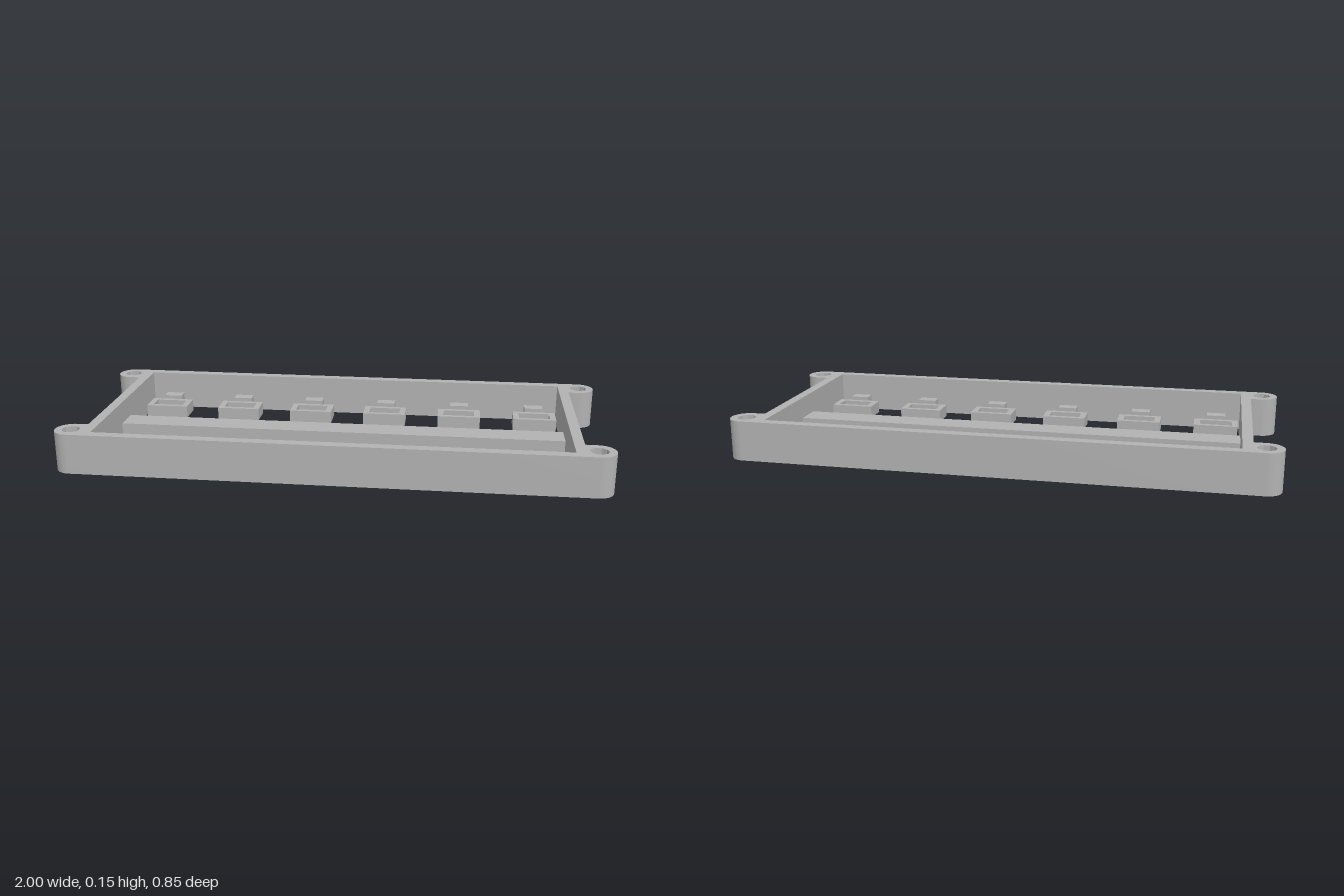
import * as THREE from 'three';
import { toCreasedNormals } from 'three/addons/utils/BufferGeometryUtils.js';

const HEIGHT = 0.15;

export function createModel() {
  const model = new THREE.Group();
  const grey = new THREE.MeshStandardMaterial({ color: 0xb2b2b2 });
  grey.name = 'plainGrey';

  const add = (name, geometry, parent = model) => {
    const mesh = new THREE.Mesh(geometry, grey);
    mesh.name = name;
    parent.add(mesh);
    return mesh;
  };
  // Extrude a plan outline upward from y = 0
  const extrudeUp = (shape, depth) => {
    const g = new THREE.ExtrudeGeometry(shape, { depth, bevelEnabled: false, curveSegments: 16 });
    g.rotateX(-Math.PI / 2);
    return toCreasedNormals(g, 0.5);
  };
  const rectangle = (Type, w, d) => {
    const p = new Type();
    p.moveTo(-w / 2, -d / 2).lineTo(w / 2, -d / 2).lineTo(w / 2, d / 2).lineTo(-w / 2, d / 2).closePath();
    return p;
  };
  const box = (w, h, d, x, y, z) => new THREE.BoxGeometry(w, h, d).translate(x, y, z);

  // Frame: long walls ending in round screw bosses, joined by inset end walls
  const bx = 0.94, bz = 0.366, r = 0.06, wallX = 0.897;
  const outline = new THREE.Shape();
  outline.moveTo(-bx, -bz - r);
  outline.lineTo(bx, -bz - r);
  outline.absarc(bx, -bz, r, -Math.PI / 2, Math.PI / 2, false);
  outline.lineTo(wallX, -bz + r);
  outline.lineTo(wallX, bz - r);
  outline.lineTo(bx, bz - r);
  outline.absarc(bx, bz, r, -Math.PI / 2, Math.PI / 2, false);
  outline.lineTo(-bx, bz + r);
  outline.absarc(-bx, bz, r, Math.PI / 2, Math.PI * 1.5, false);
  outline.lineTo(-wallX, bz - r);
  outline.lineTo(-wallX, -bz + r);
  outline.lineTo(-bx, -bz + r);
  outline.absarc(-bx, -bz, r, Math.PI / 2, Math.PI * 1.5, false);
  outline.holes.push(rectangle(THREE.Path, 1.718, 0.776));
  // Screw holes
  for (const sx of [-1, 1]) for (const sz of [-1, 1]) {
    const points = [];
    for (let i = 0; i < 10; i++) {
      const a = (i / 10) * Math.PI * 2;
      points.push(new THREE.Vector2(sx * bx + 0.033 * Math.cos(a), sz * bz + 0.033 * Math.sin(a)));
    }
    outline.holes.push(new THREE.Path(points));
  }
  add('frame', extrudeUp(outline, HEIGHT));

  // Bar across the middle
  add('centreBar', box(1.718, 0.068, 0.104, 0, 0.034, 0));

  // Two rows of open rectangular loops, each held to the wall by a tab
  const loopShape = rectangle(THREE.Shape, 0.172, 0.098);
  loopShape.holes.push(rectangle(THREE.Path, 0.124, 0.06));
  const loopGeometry = extrudeUp(loopShape, 0.048);
  const tabGeometry = box(0.074, 0.063, 0.046, 0, 0.0315, 0.072);
  for (const side of [-1, 1]) {
    for (let i = 0; i < 6; i++) {
      const holder = new THREE.Group();
      holder.name = (side > 0 ? 'front' : 'back') + 'Holder' + (i + 1);
      add('loop', loopGeometry, holder);
      add('tab', tabGeometry, holder);
      holder.position.set((i - 2.5) * 0.306, 0, side * 0.294);
      if (side < 0) holder.rotation.y = Math.PI;
      model.add(holder);
    }
  }
  return model;
}
